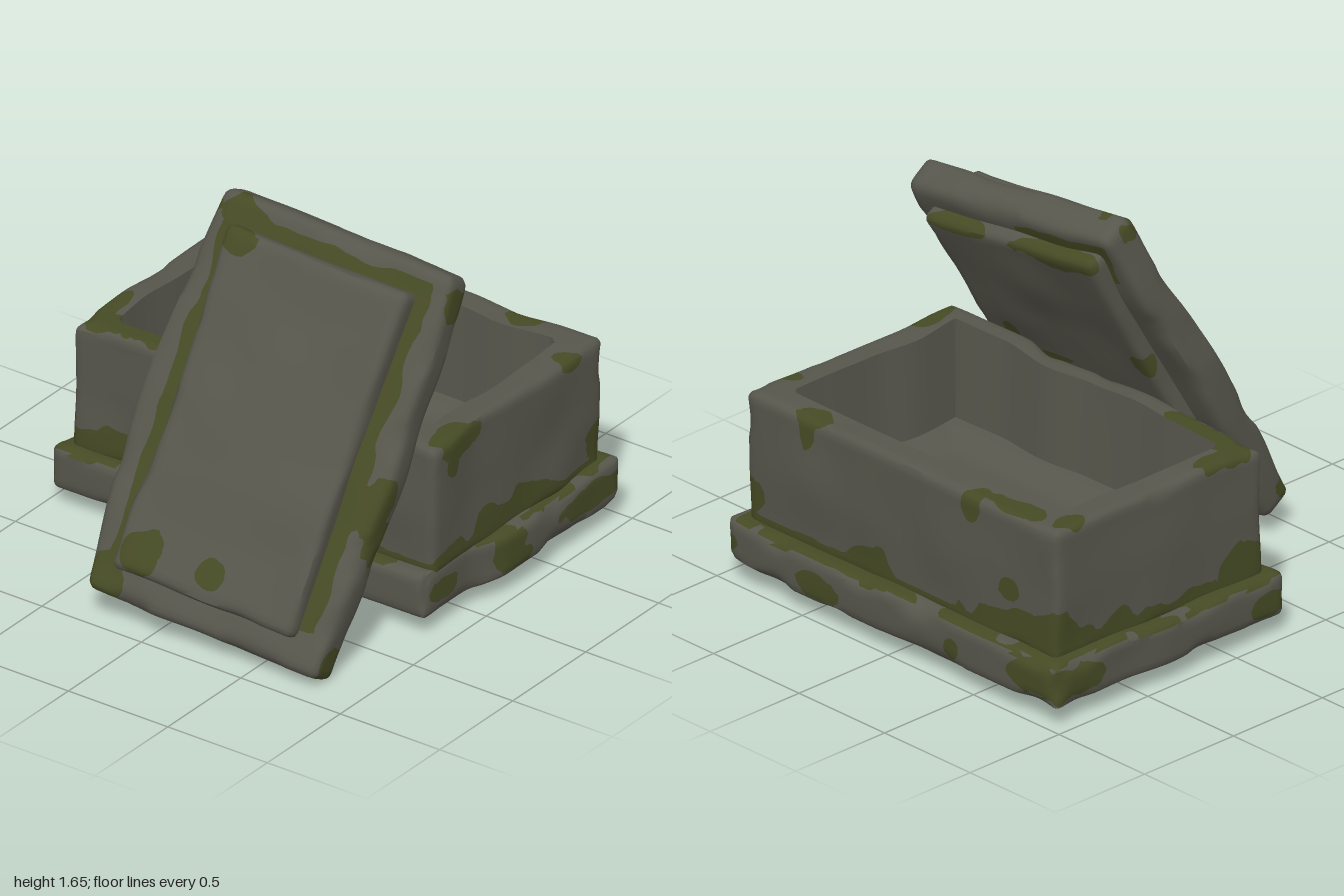
import * as THREE from 'three';
import { toCreasedNormals, mergeVertices } from 'three/addons/utils/BufferGeometryUtils.js';

// Seeded smooth value noise, 0..1
function hash(x, y, z) {
  let h = Math.imul(x, 374761393) ^ Math.imul(y, 668265263) ^ Math.imul(z, 1274126177);
  h = Math.imul(h ^ (h >>> 13), 1103515245);
  h = Math.imul(h ^ (h >>> 15), 668265263);
  return ((h ^ (h >>> 16)) >>> 0) / 4294967295;
}
function noise(x, y, z) {
  const i = Math.floor(x), j = Math.floor(y), k = Math.floor(z);
  const ease = (t) => t * t * (3 - 2 * t), mix = THREE.MathUtils.lerp;
  const u = ease(x - i), v = ease(y - j), w = ease(z - k);
  const row = (b, c) => mix(hash(i, j + b, k + c), hash(i + 1, j + b, k + c), u);
  return mix(mix(row(0, 0), row(1, 0), v), mix(row(0, 1), row(1, 1), v), w);
}
const { clamp, smoothstep } = THREE.MathUtils;

// Ragged pattern used by all the moss
const patch = (p, f, s) => 0.65 * noise(p.x * f + s, p.y * f + s, p.z * f) + 0.35 * noise(p.x * f * 3, p.y * f * 3 + s, p.z * f * 3);

// Ragged moss spots, each [x, y, z, radius x, radius y, radius z]; positive inside
function spots(p, list) {
  const best = Math.max(...list.map(([x, y, z, a, b, c]) => 1 - Math.hypot((p.x - x) / a, (p.y - y) / b, (p.z - z) / c)));
  return best + (patch(p, 11, 5) - 0.5) * 0.9;
}

// Cut every triangle along the edge of the moss: first group stone, second group moss
function paintMoss(geo, mossy) {
  const P = geo.attributes.position, N = geo.attributes.normal;
  const pos = [[], []], nor = [[], []];
  const tri = new THREE.Triangle(), face = new THREE.Vector3();
  for (let i = 0; i < P.count; i += 3) {
    tri.setFromAttributeAndIndices(P, i, i + 1, i + 2);
    tri.getNormal(face);
    const v = [0, 1, 2].map((k) => {
      const p = new THREE.Vector3().fromBufferAttribute(P, i + k);
      return { p, n: new THREE.Vector3().fromBufferAttribute(N, i + k), f: mossy(p, face) };
    });
    [-1, 1].forEach((sign, g) => {
      const poly = [];
      v.forEach((a, k) => {
        const b = v[(k + 1) % 3];
        if (a.f * sign > 0) poly.push(a);
        if (a.f * b.f < 0) {
          const t = a.f / (a.f - b.f);
          poly.push({ p: a.p.clone().lerp(b.p, t), n: a.n.clone().lerp(b.n, t).normalize() });
        }
      });
      for (let k = 1; k + 1 < poly.length; k++) {
        for (const c of [poly[0], poly[k], poly[k + 1]]) {
          pos[g].push(c.p.x, c.p.y, c.p.z);
          nor[g].push(c.n.x, c.n.y, c.n.z);
        }
      }
    });
  }
  const out = new THREE.BufferGeometry();
  out.setAttribute('position', new THREE.Float32BufferAttribute(pos[0].concat(pos[1]), 3));
  out.setAttribute('normal', new THREE.Float32BufferAttribute(nor[0].concat(nor[1]), 3));
  out.addGroup(0, pos[0].length / 3, 0);
  out.addGroup(pos[0].length / 3, pos[1].length / 3, 1);
  return out;
}

export function createModel() {
  const stone = new THREE.MeshStandardMaterial({ color: 0x57564c });
  stone.name = 'weathered stone';
  const moss = new THREE.MeshStandardMaterial({ color: 0x464b25 });
  moss.name = 'moss';
  const model = new THREE.Group();
  model.name = 'openStoneCoffin';

  // Worn block: finely divided box with chipped round edges and gentle dents
  function block(name, size, centre, seed, { bevel = 0.03, chip = 0.07, shape, mossy }) {
    let geo = new THREE.BoxGeometry(...size, ...size.map((s) => Math.round(s / 0.026)));
    geo.clearGroups();
    geo.deleteAttribute('uv');
    geo.deleteAttribute('normal');
    geo = mergeVertices(geo);
    const pos = geo.attributes.position;
    const p = new THREE.Vector3(), q = new THREE.Vector3(), o = new THREE.Vector3();
    const half = new THREE.Vector3(...size).multiplyScalar(0.5);
    for (let i = 0; i < pos.count; i++) {
      p.fromBufferAttribute(pos, i);
      o.copy(p);
      const worn = noise(p.x * 6 + seed, p.y * 6, p.z * 6 + seed);
      const r = Math.min(bevel + chip * Math.max(0, worn - 0.55) * 2, half.x * 0.9, half.y * 0.9);
      q.set(clamp(p.x, r - half.x, half.x - r), clamp(p.y, r - half.y, half.y - r), clamp(p.z, r - half.z, half.z - r));
      p.sub(q).setLength(r).add(q);
      const dent = (a) => (noise(o.x * 4 + a + seed, o.y * 4 + a, o.z * 4) - 0.5) * 0.03;
      p.x += dent(10);
      p.y += dent(30) * 0.6;
      p.z += dent(50);
      if (shape) shape(p, o, half);
      pos.setXYZ(i, p.x, p.y, p.z);
    }
    const mesh = new THREE.Mesh(paintMoss(toCreasedNormals(geo, 0.75), mossy), [stone, moss]);
    mesh.name = name;
    mesh.position.set(...centre);
    return mesh;
  }

  // Base slab, broken along its front right corner
  const slabSpots = [
    [-0.53, 0, 0.97, 0.13, 0.07, 0.1], [-0.14, 0.05, 0.97, 0.09, 0.1, 0.1], [-0.1, -0.04, 0.97, 0.1, 0.06, 0.1],
    [0.46, 0.01, 0.97, 0.22, 0.06, 0.1], [0.65, -0.02, 0.43, 0.1, 0.06, 0.12], [0.65, -0.02, -0.36, 0.1, 0.04, 0.04],
    [0.65, 0.02, -0.82, 0.1, 0.1, 0.11], [0.6, 0, -0.97, 0.1, 0.07, 0.1], [-0.55, -0.02, -0.97, 0.1, 0.06, 0.1],
    [0.48, 0, -0.97, 0.1, 0.07, 0.1], [-0.65, 0, -0.3, 0.1, 0.07, 0.15],
  ];
  model.add(block('baseSlab', [1.3, 0.2, 1.94], [0.345, 0.172, 0], 3, {
    bevel: 0.035,
    shape(p, o, half) {
      const worn = smoothstep(-0.145 - o.x, 0, 0.22) * 0.06;
      if (p.z > half.z - 0.1) p.z -= worn * (p.z - half.z + 0.1) / 0.1;
    },
    mossy(p, n) {
      if (n.y < -0.4) return -1;
      if (n.y > 0.6) return patch(p, 5, 7) - 0.44 - 2 * Math.max(0, Math.abs(p.z) - 0.945, Math.abs(p.x) - 0.62);
      return spots(p, slabSpots);
    },
  }));

  // Coffin body with the cavity sunk into its top face
  const bodySpots = [
    [-0.38, 0.24, 0.91, 0.14, 0.06, 0.1], [-0.45, 0.18, 0.91, 0.05, 0.07, 0.1], [0.36, 0.28, 0.91, 0.06, 0.03, 0.1],
    [0.58, 0.24, 0.56, 0.1, 0.09, 0.05], [0.58, 0.26, -0.4, 0.1, 0.07, 0.05], [0.58, -0.05, -0.62, 0.1, 0.05, 0.06],
    [0.55, -0.15, 0.9, 0.1, 0.09, 0.1], [0.55, -0.18, -0.9, 0.1, 0.1, 0.14], [-0.48, -0.18, -0.91, 0.12, 0.1, 0.1],
    [-0.49, 0.3, -0.75, 0.07, 0.08, 0.2], [-0.38, 0.3, -0.86, 0.14, 0.08, 0.06], [-0.5, 0.3, -0.5, 0.06, 0.08, 0.08],
    [0.51, 0.3, -0.62, 0.06, 0.08, 0.15], [0.53, 0.3, 0.55, 0.06, 0.08, 0.1], [0.45, 0.3, -0.85, 0.08, 0.06, 0.05],
    [-0.45, 0.3, 0.87, 0.12, 0.06, 0.05],
  ];
  model.add(block('coffinBody', [1.16, 0.6, 1.81], [0.345, 0.535, 0], 17, {
    chip: 0.06,
    shape(p, o, half) {
      const edge = Math.min(0.452 - Math.abs(o.x + 0.005), 0.768 - Math.abs(o.z));
      if (o.y > half.y - 0.001 && edge > 0) p.y = -0.12 - 0.05 * smoothstep(edge, 0, 0.18);
    },
    mossy(p, n) {
      if (Math.abs(p.x) < 0.5 && Math.abs(p.z) < 0.82 && (n.y < 0.6 || p.y < 0.1)) return -1;
      const band = 0.035 + 0.34 * Math.max(0, patch(p, 5, 40) - 0.38) - (p.y + 0.27);
      return Math.max(band * 8, spots(p, bodySpots));
    },
  }));

  // Lid leaning on the body: x is its thickness (+x the underside), y its length, z its width
  const lid = new THREE.Group();
  lid.name = 'leaningLid';
  const along = new THREE.Vector3(0.488, 0.872, 0.045).normalize();
  const across = new THREE.Vector3(0.08, -0.05, 1).normalize();
  const through = new THREE.Vector3().crossVectors(along, across).normalize();
  across.crossVectors(through, along);
  lid.quaternion.setFromRotationMatrix(new THREE.Matrix4().makeBasis(through, along, across));
  lid.position.set(-0.467, 0.82, 0.295);
  model.add(lid);

  const edgeSpots = [
    [0.02, -0.28, 0.56, 0.08, 0.12, 0.1], [-0.04, -0.13, 0.56, 0.06, 0.14, 0.1], [0, 0.75, 0.56, 0.07, 0.09, 0.1],
    [0, -0.8, 0.56, 0.07, 0.09, 0.1], [-0.05, -0.8, -0.5, 0.08, 0.1, 0.1], [-0.05, 0.8, -0.45, 0.06, 0.06, 0.14],
  ];
  lid.add(block('lidSlab', [0.165, 1.74, 1.11], [0, 0, 0], 29, {
    bevel: 0.04,
    chip: 0.08,
    shape(p, o) {
      // sides swell a little towards the middle
      p.z += (o.z < 0 ? -0.1 : 0.04) * o.z * o.z / 0.31 * (1 - (o.y / 0.87) ** 2) * 0.6;
    },
    mossy(p, n) {
      // ring of moss around the raised panels
      const gap = Math.max(Math.abs(p.y) - 0.74, Math.abs(p.z + 0.01) - 0.43);
      const ragged = patch(p, 6, 80);
      let ring = -1;
      if (n.x < -0.5 && p.y > -0.7) ring = (0.025 + 0.08 * ragged - gap) * 8;
      if (n.x > 0.5 && p.y > 0.6 && p.z < 0) ring = (0.05 + 0.06 * ragged - gap) * 8;
      return Math.max(ring, spots(p, edgeSpots));
    },
  }));
  const outerSpots = [
    [-0.1, -0.64, -0.32, 0.08, 0.1, 0.1], [-0.1, -0.62, 0.02, 0.08, 0.07, 0.07], [-0.1, 0.7, -0.38, 0.1, 0.07, 0.12],
  ];
  lid.add(block('lidOuterPanel', [0.19, 1.48, 0.86], [-0.062, 0, -0.015], 43, {
    mossy: (p) => spots(p, outerSpots),
  }));
  const innerSpots = [
    [0.1, 0.09, 0.32, 0.08, 0.08, 0.05], [0.1, 0.13, -0.42, 0.08, 0.06, 0.05], [0.1, 0.76, -0.25, 0.08, 0.06, 0.25],
    [0.1, 0.76, 0.3, 0.08, 0.03, 0.16], [0.1, 0, 0.1, 0.08, 0.02, 0.15],
  ];
  lid.add(block('lidInnerPanel', [0.19, 1.54, 0.92], [0.058, 0, -0.01], 57, {
    mossy: (p) => spots(p, innerSpots),
  }));

  return model;
}
